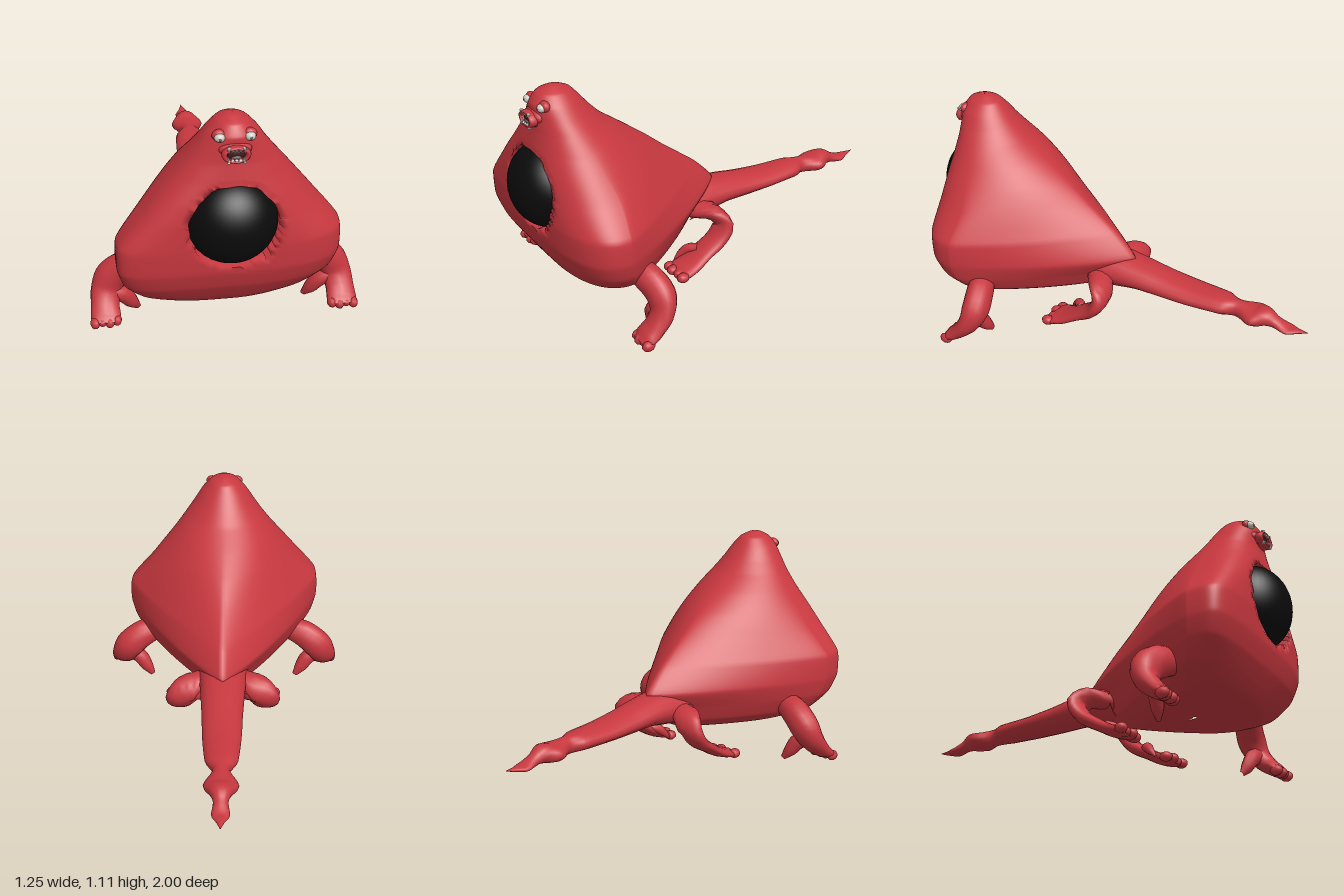
import * as THREE from 'three';

const mat = (name, color) => {
  const m = new THREE.MeshStandardMaterial({ color });
  m.name = name;
  return m;
};
const V = (x, y, z) => new THREE.Vector3(x, y, z);

// Smooth skin over (rows + 1) closed rings; point(t, angle) gives each vertex
function skin(rows, segs, point) {
  const pos = [], index = [];
  for (let i = 0; i <= rows; i++) {
    for (let j = 0; j < segs; j++) pos.push(...point(i / rows, (j / segs) * Math.PI * 2).toArray());
  }
  for (let i = 0; i < rows; i++) {
    for (let j = 0; j < segs; j++) {
      const k = (j + 1) % segs, a = i * segs + j, b = i * segs + k;
      index.push(a, b, a + segs, b, b + segs, a + segs);
    }
  }
  const g = new THREE.BufferGeometry();
  g.setAttribute('position', new THREE.Float32BufferAttribute(pos, 3));
  g.setIndex(index);
  g.computeVertexNormals();
  return g;
}

// Limb through stations [x, y, z, radius along side, other radius]
function limb(stations, side, rows = 24, segs = 14) {
  const path = new THREE.CatmullRomCurve3(stations.map(s => V(s[0], s[1], s[2])));
  const radii = new THREE.CatmullRomCurve3(stations.map(s => V(s[3], s[4], 0)));
  return skin(rows, segs, (t, a) => {
    const T = path.getTangent(t), r = radii.getPoint(t);
    const S = side.clone().addScaledVector(T, -side.dot(T)).normalize();
    const B = T.clone().cross(S);
    return path.getPoint(t)
      .addScaledVector(S, Math.max(r.x, 0.001) * Math.cos(a))
      .addScaledVector(B, Math.max(r.y, 0.001) * Math.sin(a));
  });
}

// Horizontal slices: y, z of widest point, front squareness, half width, front z, back z
const SLICES = [
  [0.170, 0.50, 2.4, 0.01, 0.51, 0.49],
  [0.172, 0.55, 2.6, 0.22, 0.68, 0.24],
  [0.195, 0.62, 2.8, 0.31, 0.79, 0.15],
  [0.240, 0.68, 3.2, 0.41, 0.83, 0.06],
  [0.320, 0.72, 3.6, 0.475, 0.88, 0.00],
  [0.410, 0.74, 3.8, 0.502, 0.91, -0.08],
  [0.530, 0.74, 3.6, 0.497, 0.92, 0.03],
  [0.660, 0.72, 3.2, 0.395, 0.92, 0.20],
  [0.750, 0.72, 2.8, 0.325, 0.915, 0.31],
  [0.840, 0.72, 2.5, 0.255, 0.90, 0.43],
  [0.920, 0.74, 2.3, 0.195, 0.885, 0.54],
  [0.980, 0.76, 2.2, 0.152, 0.88, 0.60],
  [1.040, 0.77, 2.0, 0.112, 0.88, 0.65],
  [1.085, 0.77, 2.0, 0.070, 0.85, 0.69],
  [1.108, 0.77, 2.0, 0.025, 0.80, 0.74],
  [1.112, 0.77, 2.0, 0.002, 0.772, 0.768],
];

function bodyGeometry() {
  const low = new THREE.CatmullRomCurve3(SLICES.map(s => V(s[0], s[1], s[2])), false, 'catmullrom', 0.25);
  const out = new THREE.CatmullRomCurve3(SLICES.map(s => V(s[3], s[4], s[5])), false, 'catmullrom', 0.25);
  return skin(105, 144, (t, a) => {
    const { x: y, y: mid, z: square } = low.getPoint(t);
    const { x: w, y: front, z: back } = out.getPoint(t);
    const c = Math.cos(a), s = Math.sin(a);
    // the left shoulder is cut back, the right one is squarer
    const zc = s > 0 ? mid - 0.06 * (1 - THREE.MathUtils.smoothstep(y, 0.6, 0.95)) : mid;
    const n = c > 0 ? 2 + (square - 2) * (s > 0 ? 0.4 : 2)
      : 1.15 + 0.85 * THREE.MathUtils.smoothstep(y, 0.5, 1.08);
    const k = Math.pow(Math.abs(c) ** n + Math.abs(s) ** n, -1 / n);
    const p = V(w * s * k, y, zc + c * k * (c > 0 ? front - zc : zc - back));
    // ragged socket for the dark ball
    const dx = p.x + 0.005, dy = y - 0.635, r = Math.hypot(dx, dy), angle = Math.atan2(dy, dx);
    const rim = 0.194 + 0.003 * Math.sin(7 * angle) + 0.002 * Math.sin(13 * angle + 1);
    if (p.z > 0.76 && r < rim) p.z = 0.76;
    else if (p.z > 0.76 && r < rim + 0.02) p.set(-0.005 + dx * rim / r, 0.635 + dy * rim / r, p.z);
    return p;
  });
}

export function createModel() {
  const root = new THREE.Group();
  root.name = 'creature';
  const red = mat('red skin', 0xc8383f);
  const black = mat('black ball', 0x0b0b0b);
  const white = mat('eye and tooth white', 0xd2cdc6);
  const dark = mat('mouth maroon', 0x4a1418);
  const grey = mat('pupil and tongue grey', 0x6a5c5c);

  const add = (name, geometry, material, parent = root) => {
    const m = new THREE.Mesh(geometry, material);
    m.name = name;
    parent.add(m);
    return m;
  };
  const blob = (name, material, p, r, parent = root, detail = 16) => {
    const m = add(name, new THREE.SphereGeometry(1, detail, Math.ceil(detail * 0.7)), material, parent);
    m.position.set(...p);
    m.scale.set(...r);
    return m;
  };

  add('body', bodyGeometry(), red);
  blob('bellyBall', black, [-0.005, 0.635, 0.83], [0.2, 0.2, 0.17], root, 40);

  // Knobbly tail
  add('tail', limb([
    [0, 0.33, 0.12, 0.13, 0.10], [0, 0.335, -0.02, 0.115, 0.085], [0, 0.335, -0.12, 0.108, 0.068],
    [0, 0.325, -0.25, 0.10, 0.057], [0, 0.318, -0.40, 0.094, 0.047], [0, 0.318, -0.57, 0.078, 0.044],
    [0, 0.315, -0.64, 0.042, 0.043], [0, 0.31, -0.73, 0.083, 0.041], [0, 0.318, -0.785, 0.055, 0.044],
    [0, 0.305, -0.835, 0.035, 0.028], [0, 0.287, -0.90, 0.042, 0.016], [0, 0.292, -0.95, 0.018, 0.010],
    [0, 0.30, -1.0, 0.001, 0.001],
  ], V(1, 0, 0), 60, 16), red);

  // Face: muzzle, open mouth, teeth, tongue
  const face = new THREE.Group();
  face.name = 'face';
  root.add(face);
  blob('muzzle', red, [0, 0.988, 0.855], [0.074, 0.036, 0.05], face);
  blob('jaw', red, [0, 0.958, 0.86], [0.05, 0.024, 0.05], face);
  const lips = add('lips', new THREE.TorusGeometry(0.05, 0.012, 10, 28), red, face);
  lips.position.set(0, 0.978, 0.897);
  lips.scale.set(1, 0.62, 1.8);
  blob('mouthInside', dark, [0, 0.978, 0.89], [0.045, 0.028, 0.018], face);
  blob('tongue', grey, [0, 0.966, 0.901], [0.024, 0.011, 0.012], face, 10);
  for (const [y, turn] of [[0.996, Math.PI], [0.962, 0]]) {
    for (let i = -2; i <= 2; i++) {
      const fang = Math.abs(i) === 2;
      const tooth = add('tooth', new THREE.ConeGeometry(0.009, fang ? 0.032 : 0.014, 6), white, face);
      tooth.position.set(i * 0.0165, y, 0.912);
      tooth.rotation.x = turn;
    }
  }

  for (const s of [-1, 1]) {
    const label = s > 0 ? 'left' : 'right';
    const mirror = list => list.map(([x, ...rest]) => [x * s, ...rest]);
    const group = name => {
      const g = new THREE.Group();
      g.name = label + name;
      root.add(g);
      return g;
    };

    // Eye in its socket
    const eye = group('Eye');
    blob('eyelid', red, [s * 0.064, 1.044, 0.846], [0.031, 0.026, 0.022], eye);
    blob('eyeball', white, [s * 0.064, 1.04, 0.863], [0.023, 0.019, 0.02], eye);
    blob('pupil', grey, [s * 0.064, 1.038, 0.88], [0.007, 0.007, 0.005], eye, 10);

    // Front leg with thumb and toes
    const front = group('FrontLeg');
    add('arm', limb(mirror([
      [0.32, 0.29, 0.60, 0.05, 0.05], [0.43, 0.265, 0.565, 0.065, 0.075], [0.505, 0.21, 0.545, 0.066, 0.078],
      [0.54, 0.145, 0.56, 0.054, 0.070], [0.55, 0.09, 0.605, 0.042, 0.066], [0.55, 0.052, 0.655, 0.032, 0.070],
      [0.55, 0.035, 0.69, 0.014, 0.058],
    ]), V(0, 0, 1)), red, front);
    add('thumb', limb(mirror([
      [0.52, 0.13, 0.575, 0.03, 0.04], [0.465, 0.11, 0.565, 0.034, 0.042], [0.425, 0.055, 0.55, 0.028, 0.034],
      [0.392, 0.010, 0.535, 0.008, 0.014],
    ]), V(0, 0, 1), 12, 10), red, front);
    for (let i = 0; i < 4; i++) {
      blob('toe', red, [s * (0.502 + i * 0.033), 0.039 - (i % 2) * 0.004, 0.665 + (i % 2) * 0.008],
        [0.023, 0.026, 0.033], front, 10);
    }

    // Hind leg with flat paddle foot
    const hind = group('HindLeg');
    add('leg', limb(mirror([
      [0.04, 0.31, 0.12, 0.05, 0.04], [0.16, 0.315, 0.03, 0.065, 0.042], [0.215, 0.265, 0.0, 0.07, 0.036],
      [0.22, 0.20, 0.04, 0.068, 0.034], [0.214, 0.145, 0.12, 0.07, 0.028], [0.212, 0.10, 0.195, 0.08, 0.026],
      [0.210, 0.08, 0.25, 0.085, 0.024], [0.210, 0.068, 0.288, 0.06, 0.012],
    ]), V(1, 0, 0)), red, hind);
    add('innerToe', limb(mirror([
      [0.19, 0.155, 0.13, 0.025, 0.022], [0.15, 0.145, 0.16, 0.026, 0.024], [0.125, 0.11, 0.195, 0.018, 0.018],
      [0.115, 0.075, 0.225, 0.004, 0.004],
    ]), V(0, 0, 1), 12, 10), red, hind);
    for (let i = 0; i < 4; i++) {
      blob('toe', red, [s * (0.143 + i * 0.044), 0.075 + (i % 2) * 0.004, 0.265 + (i % 2) * 0.01],
        [0.028, 0.024, 0.032], hind, 10);
    }
  }
  return root;
}
